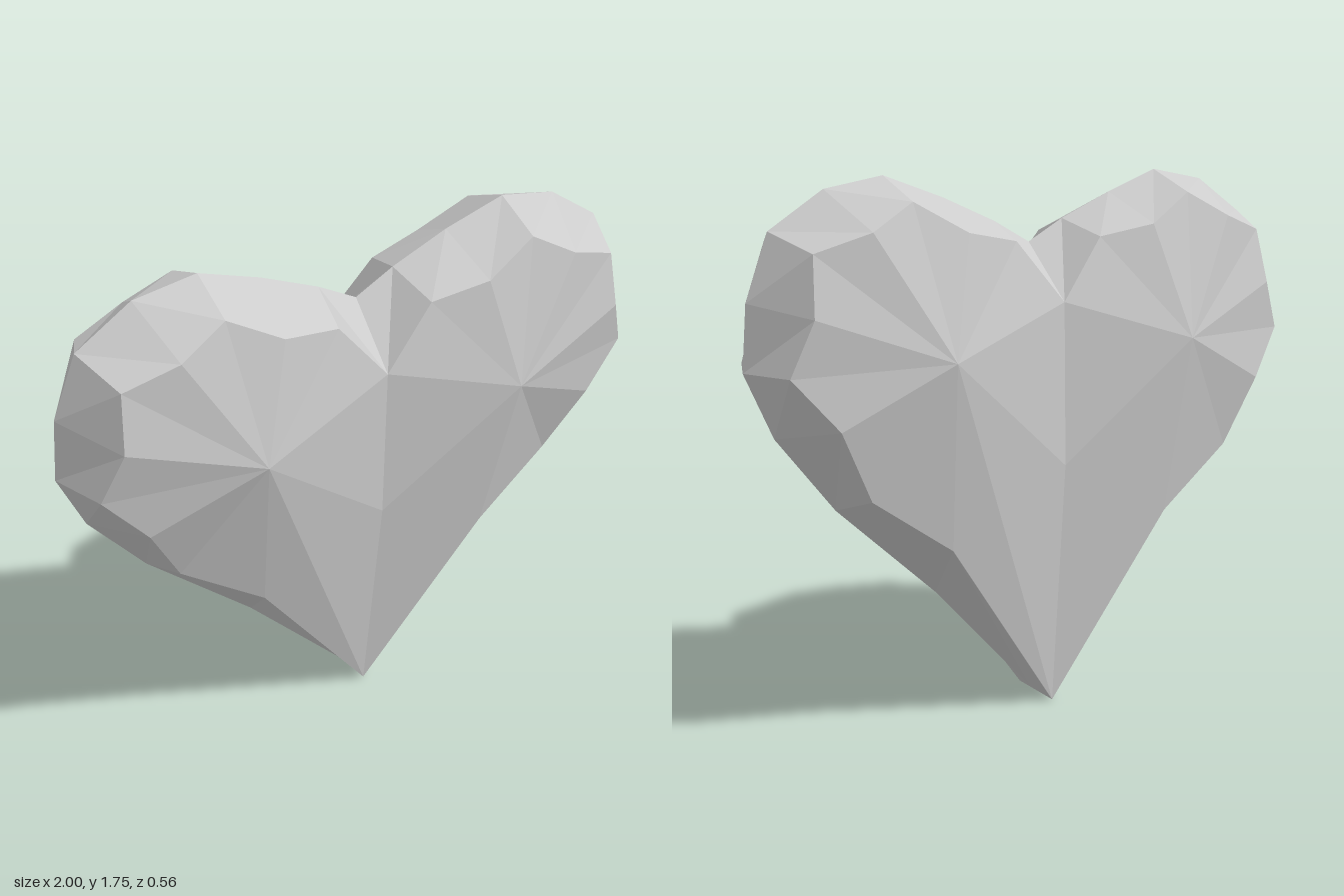
import * as THREE from 'three';

// Outer rim of the left lobe, from the top notch round to the bottom tip
const rim = [
  [0, 1.53, 0.01], [0.13, 1.6, 0.01], [0.32, 1.68, 0.01], [0.52, 1.75, 0.02],
  [0.72, 1.715, 0.015], [0.9, 1.6, 0.015], [0.98, 1.4, 0.005], [1, 1.2, 0],
  [0.92, 1, -0.02], [0.74, 0.76, -0.04], [0.39, 0.43, -0.03], [0, 0, -0.005],
];

// Inner edge, shared by front and back: x, y, front z, back z
const inner = [
  [0, 1.355, 0.2, -0.19], [0.16, 1.55, 0.185, -0.16], [0.35, 1.585, 0.215, -0.195],
  [0.52, 1.68, 0.19, -0.16], [0.67, 1.6, 0.218, -0.195], [0.84, 1.545, 0.19, -0.155],
  [0.86, 1.365, 0.22, -0.195], [0.93, 1.2, 0.175, -0.17], [0.8, 1.04, 0.19, -0.22],
  [0.69, 0.81, 0.12, -0.185], [0.42, 0.615, 0.145, -0.195], [0, 0, 0.065, -0.13],
];

// One lobe: bevelled rim strips plus a faceted fan on the front and back
function lobeGeometry(side) {
  const out = [];
  const tri = (a, b, c, flip) => {
    for (const p of flip ? [a, c, b] : [a, b, c]) out.push(p[0] * side, p[1], p[2]);
  };
  for (const face of [1, -1]) {
    const flip = face * side < 0;
    const edge = inner.map((p) => [p[0], p[1], face > 0 ? p[2] : p[3]]);
    const hub = [0.45, 1.215, face > 0 ? 0.28 : -0.285];
    const valley = [0, 0.83, face > 0 ? 0.18 : -0.2];

    // Bevel between the inner edge and the rim
    for (let i = 0; i < rim.length - 1; i++) {
      tri(edge[i], edge[i + 1], rim[i + 1], flip);
      tri(edge[i], rim[i + 1], rim[i], flip);
    }
    // Fan from the bulge, closed along the centre valley
    const loop = [...edge, valley];
    loop.forEach((p, i) => tri(hub, loop[(i + 1) % loop.length], p, flip));
  }
  const geometry = new THREE.BufferGeometry();
  geometry.setAttribute('position', new THREE.Float32BufferAttribute(out, 3));
  geometry.computeVertexNormals();
  return geometry;
}

export function createModel() {
  const group = new THREE.Group();
  group.name = 'heart';
  const stone = new THREE.MeshStandardMaterial({ color: 0xcccccc, flatShading: true });
  stone.name = 'light grey';

  for (const [name, side] of [['leftLobe', 1], ['rightLobe', -1]]) {
    const lobe = new THREE.Mesh(lobeGeometry(side), stone);
    lobe.name = name;
    group.add(lobe);
  }
  return group;
}
